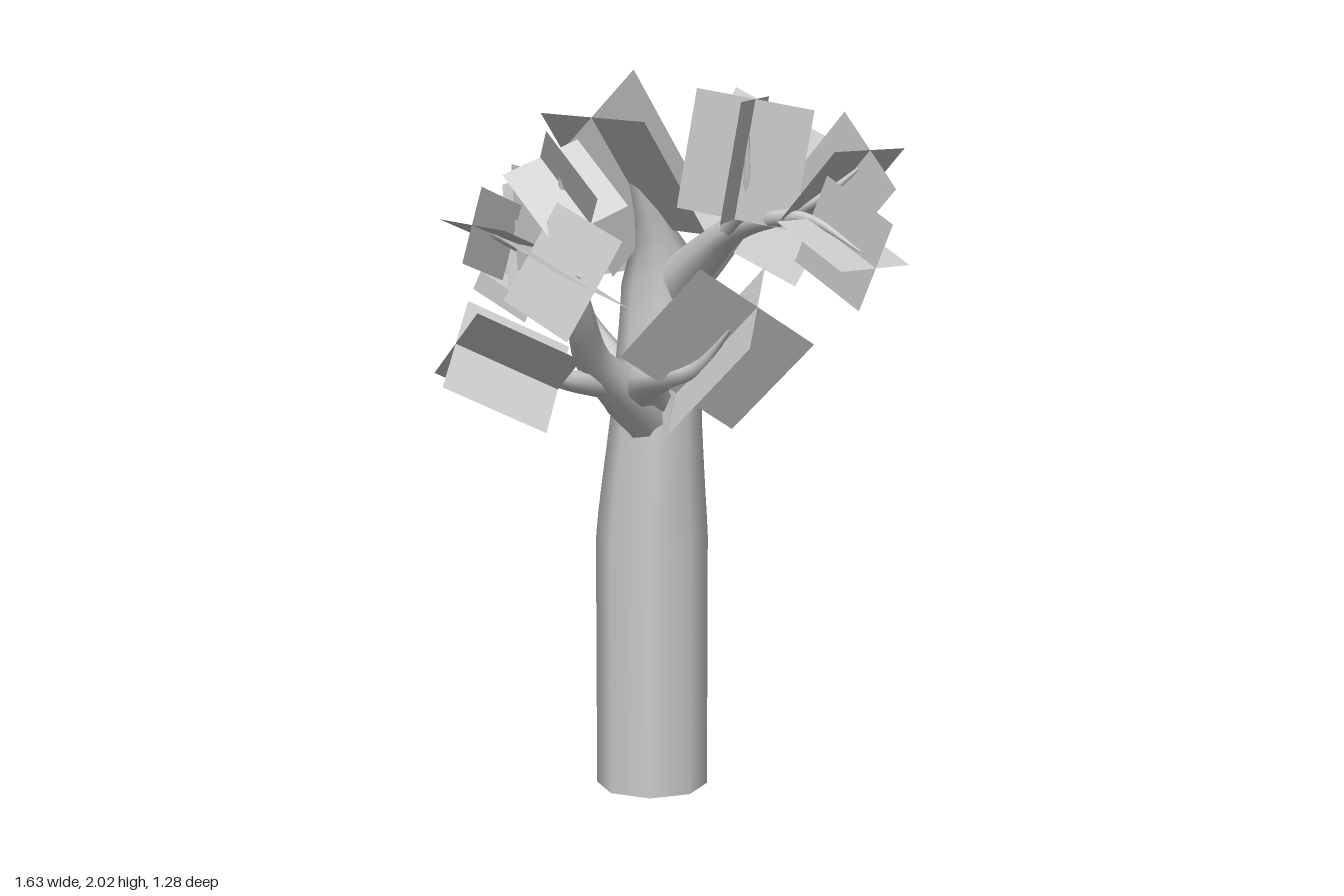
import * as THREE from 'three';

const V = (a) => new THREE.Vector3(...a);
const bark = new THREE.MeshStandardMaterial({ color: 0xcccccc, side: THREE.DoubleSide });
const leaf = new THREE.MeshStandardMaterial({ color: 0xcccccc, side: THREE.DoubleSide });

// Tapered limb: each point is [x, y, z, radius]
function limb(name, pts, steps = pts.length * 4, sides = 8) {
  const curve = new THREE.CatmullRomCurve3(pts.map((p) => V(p.slice(0, 3))));
  const geo = new THREE.TubeGeometry(curve, steps, 1, sides);
  const pos = geo.attributes.position;
  const v = new THREE.Vector3();
  for (let i = 0; i <= steps; i++) {
    const c = curve.getPointAt(i / steps);
    const t = curve.getUtoTmapping(i / steps) * (pts.length - 1);
    const k = Math.min(Math.floor(t), pts.length - 2);
    const r = THREE.MathUtils.lerp(pts[k][3], pts[k + 1][3], t - k);
    for (let j = 0; j <= sides; j++) {
      const n = i * (sides + 1) + j;
      v.fromBufferAttribute(pos, n).sub(c).multiplyScalar(r).add(c);
      pos.setXYZ(n, v.x, v.y, v.z);
    }
  }
  const mesh = new THREE.Mesh(geo, bark);
  mesh.name = name;
  return mesh;
}

// Two square cards crossing along the twig axis d; u lies in the first card
function leafCluster(center, d, u, size) {
  const g = new THREE.Group();
  g.name = 'leafCluster';
  const y = V(d).normalize();
  const x = V(u).addScaledVector(y, -V(u).dot(y)).normalize();
  const z = new THREE.Vector3().crossVectors(x, y);
  g.quaternion.setFromRotationMatrix(new THREE.Matrix4().makeBasis(x, y, z));
  g.position.set(...center);
  for (const turn of [0, Math.PI / 2]) {
    const card = new THREE.Mesh(new THREE.PlaneGeometry(size, size), leaf);
    card.rotation.y = turn;
    card.name = 'leafCard';
    g.add(card);
  }
  return g;
}

export function createModel() {
  const tree = new THREE.Group();
  tree.name = 'tree';

  // Trunk, straight at the foot and narrowing into the crown
  tree.add(limb('trunk', [
    [-0.07, 0, -0.12, 0.157], [-0.07, 0.36, -0.12, 0.157], [-0.07, 0.73, -0.12, 0.157],
    [-0.065, 1.05, -0.13, 0.128], [-0.07, 1.45, -0.155, 0.112],
    [-0.08, 1.58, -0.13, 0.055], [-0.09, 1.8, -0.04, 0.01],
  ], 28));
  const foot = new THREE.Mesh(new THREE.CircleGeometry(0.157, 8), bark);
  foot.rotation.x = Math.PI / 2;
  foot.position.set(-0.07, 0, -0.12);
  foot.name = 'trunkFoot';
  tree.add(foot);

  // Limbs and twigs
  const limbs = {
    rightLimb: [[-0.07, 1.08, -0.12, 0.07], [-0.26, 1.19, -0.12, 0.065], [-0.41, 1.33, -0.13, 0.042], [-0.46, 1.47, -0.13, 0.028], [-0.54, 1.64, -0.15, 0.006]],
    rightLowTwig: [[-0.4, 1.32, -0.13, 0.035], [-0.53, 1.34, -0.13, 0.022], [-0.65, 1.36, -0.13, 0.013], [-0.78, 1.43, -0.11, 0.004]],
    rightFrontTwig: [[-0.45, 1.44, -0.13, 0.022], [-0.48, 1.5, 0, 0.014], [-0.45, 1.58, 0.2, 0.003]],
    rightBackTwig: [[-0.45, 1.44, -0.13, 0.022], [-0.47, 1.51, -0.28, 0.014], [-0.45, 1.54, -0.48, 0.003]],
    crownTwig: [[-0.08, 1.45, -0.16, 0.05], [-0.19, 1.58, -0.19, 0.022], [-0.28, 1.78, -0.2, 0.004]],
    leftLimb: [[-0.07, 1.38, -0.15, 0.07], [0.08, 1.5, -0.15, 0.062], [0.24, 1.6, -0.14, 0.035], [0.42, 1.64, -0.13, 0.022], [0.53, 1.64, -0.13, 0.014], [0.7, 1.57, -0.13, 0.003]],
    leftTopTwig: [[0.2, 1.58, -0.14, 0.032], [0.31, 1.67, -0.1, 0.018], [0.34, 1.87, -0.08, 0.004]],
    leftOuterTwig: [[0.42, 1.64, -0.13, 0.018], [0.52, 1.7, -0.18, 0.013], [0.6, 1.78, -0.24, 0.004]],
    backLimb: [[-0.07, 1.34, -0.14, 0.05], [-0.01, 1.48, -0.26, 0.055], [0.05, 1.6, -0.36, 0.028], [0.1, 1.78, -0.46, 0.005]],
    frontLimb: [[-0.06, 0.98, -0.14, 0.05], [-0.01, 1.12, 0.01, 0.075], [0.01, 1.25, 0.17, 0.05], [0.07, 1.4, 0.27, 0.035], [0.11, 1.55, 0.34, 0.022], [0.12, 1.78, 0.38, 0.004]],
    frontLowTwig: [[0, 1.18, 0.12, 0.04], [0, 1.21, 0.28, 0.025], [-0.1, 1.3, 0.48, 0.004]],
    frontOuterTwig: [[0.09, 1.47, 0.31, 0.022], [0.15, 1.54, 0.43, 0.014], [0.34, 1.52, 0.5, 0.003]],
    leftLowLimb: [[-0.06, 1.09, -0.13, 0.065], [0.07, 1.18, 0.04, 0.055], [0.22, 1.22, 0.08, 0.032], [0.31, 1.25, 0.07, 0.02], [0.42, 1.36, 0.06, 0.004]],
  };
  for (const [name, pts] of Object.entries(limbs)) tree.add(limb(name, pts));

  // Foliage: center, twig axis, card side direction, size
  const clusters = [
    [[-0.69, 1.4, -0.13], [-0.85, 0.45, 0.28], [0.31, 0, 0.95], 0.2],
    [[-0.52, 1.56, -0.125], [-0.28, 0.93, -0.17], [0.89, 0.36, -0.26], 0.31],
    [[-0.46, 1.555, 0.13], [0.3, 0.3, 0.9], [-0.94, 0.1, 0.27], 0.22],
    [[-0.46, 1.53, -0.4], [0.28, 0.1, -0.95], [0.95, 0.05, 0.28], 0.22],
    [[-0.24, 1.7, -0.2], [-0.45, 0.9, 0], [0.9, 0.45, 0], 0.27],
    [[-0.09, 1.735, -0.03], [0.05, 0.78, 0.62], [1, -0.05, -0.06], 0.4],
    [[0.08, 1.69, -0.41], [0.18, 0.85, -0.48], [0.75, 0.2, 0.65], 0.41],
    [[0.33, 1.79, -0.08], [0.15, 0.97, -0.08], [0.53, 0, 0.85], 0.32],
    [[0.54, 1.73, -0.23], [0.72, 0.69, 0], [0, 0, 1], 0.265],
    [[0.638, 1.588, -0.13], [0.9, -0.44, 0], [0, 0, 1], 0.255],
    [[0.365, 1.3, 0.055], [0.72, 0.68, -0.1], [-0.45, 0.5, 0.7], 0.365],
    [[0.13, 1.72, 0.37], [-0.71, 0.71, 0.12], [-0.22, -0.35, 0.9], 0.235],
    [[0.26, 1.53, 0.495], [0.95, -0.28, 0.08], [0.25, 0.88, -0.39], 0.285],
    [[-0.05, 1.25, 0.42], [-0.47, 0.43, 0.77], [0.77, 0.6, 0.13], 0.3],
  ];
  for (const c of clusters) tree.add(leafCluster(...c));
  return tree;
}
